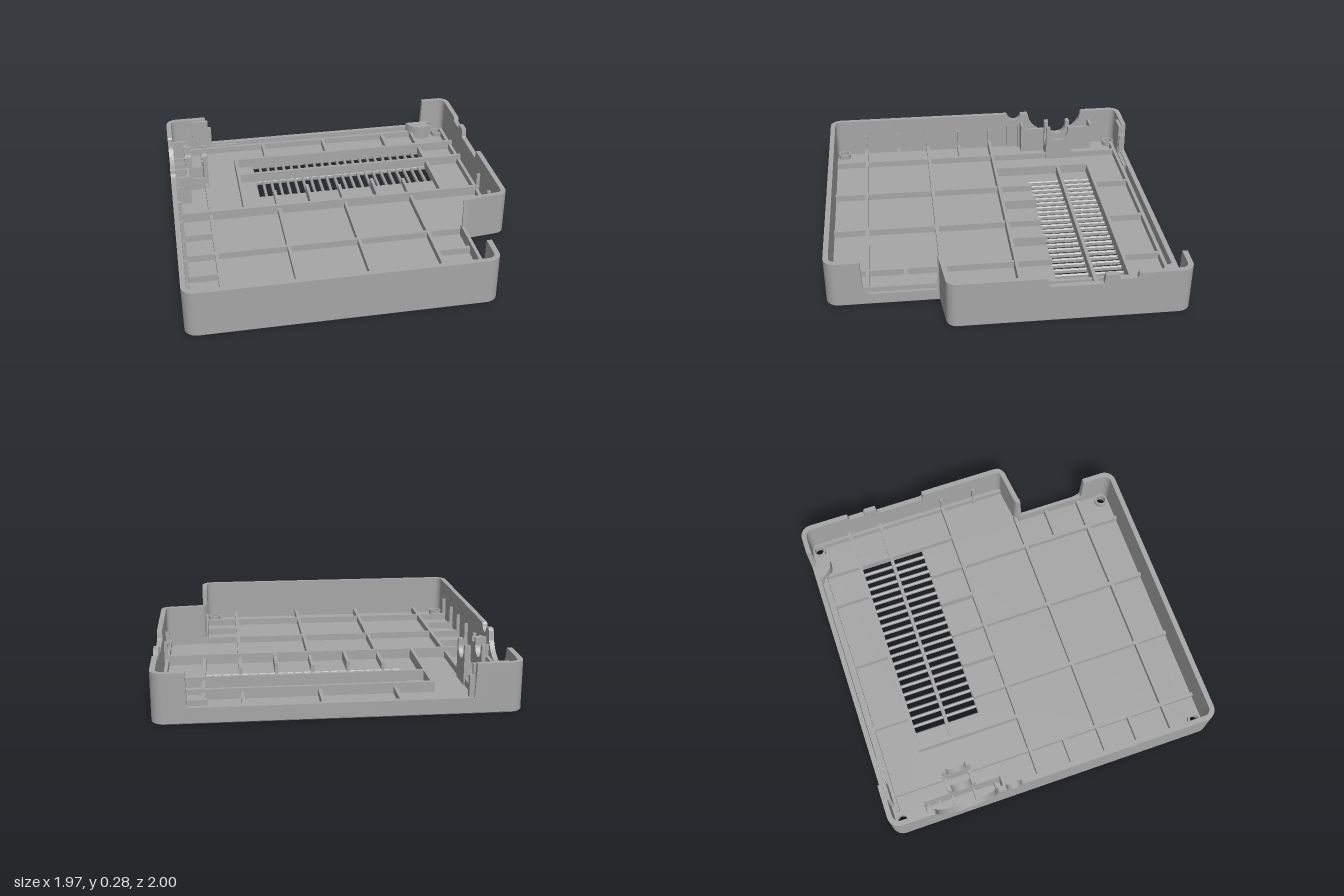
import * as THREE from 'three';
import { toCreasedNormals } from 'three/addons/utils/BufferGeometryUtils.js';

const H = 0.28, FLOOR = 0.03, WALL = 0.03;

// Plan shapes are drawn in (x, -z) and extruded upwards.
const up = (geo, y = 0) => geo.rotateX(-Math.PI / 2).translate(0, y, 0);

// Polygon with rounded corners; each corner is [x, y, r].
function roundedShape(corners) {
  const s = new THREE.Shape();
  const n = corners.length;
  const P = corners.map(c => new THREE.Vector2(c[0], c[1]));
  for (let i = 0; i < n; i++) {
    const p = P[i], r = corners[i][2];
    const a = P[(i + n - 1) % n].clone().sub(p).normalize();
    const b = P[(i + 1) % n].clone().sub(p).normalize();
    const at = (d, k) => p.clone().addScaledVector(d, k);
    const s0 = at(a, r), c0 = at(a, r * 0.45), c1 = at(b, r * 0.45), s1 = at(b, r);
    if (i === 0) s.moveTo(s0.x, s0.y); else s.lineTo(s0.x, s0.y);
    s.bezierCurveTo(c0.x, c0.y, c1.x, c1.y, s1.x, s1.y);
  }
  s.closePath();
  return s;
}

const outline = () => roundedShape([
  [-0.987, -1, 0.07], [0.735, -1, 0.07], [0.735, -0.37, 0.004],
  [0.987, -0.342, 0.05], [0.987, 1, 0.07], [-0.987, 1, 0.07],
]);

// Height of the wall's top edge at a point of the outline.
function rimHeight(x, z) {
  const arc = (mid, r, depth) => {
    const t = (z - mid) / r;
    return Math.abs(t) < 1 ? H - depth * Math.sqrt(1 - t * t) : H;
  };
  if (z < -0.95 && x > -0.72 && x < 0.8) return 0.09;
  if (x < -0.95) return Math.min(arc(-0.545, 0.185, 0.16), arc(-0.26, 0.045, 0.045));
  if (x > 0.95) {
    if (z > -0.505 && z < -0.2) {
      const d = Math.min(z + 0.505, -0.2 - z, 0.02) / 0.02;
      return 0.245 - 0.02 * Math.sqrt(1 - (1 - d) ** 2);
    }
    if (z > -0.69 && z < -0.58) return 0.25;
  } else if (x > 0.72 && z > 0.375 && z < 0.8) {
    const t = Math.max(0, (z - 0.735) / 0.065);
    return 0.135 - 0.065 * Math.sqrt(1 - t * t);
  }
  return H;
}

// Wall swept round the outline, following the rim height.
function wallGeometry() {
  const raw = outline().getPoints(8).filter((p, i, l) => i === 0 || p.distanceTo(l[i - 1]) > 1e-5);
  if (raw[0].distanceTo(raw[raw.length - 1]) < 1e-5) raw.pop();
  const pts = [];
  raw.forEach((p, i) => {
    const q = raw[(i + 1) % raw.length];
    const k = Math.max(1, Math.round(p.distanceTo(q) / 0.008));
    for (let j = 0; j < k; j++) pts.push(p.clone().lerp(q, j / k));
  });
  const n = pts.length;
  const normal = i => {
    const d = pts[(i + 1) % n].clone().sub(pts[i]).normalize();
    return new THREE.Vector2(-d.y, d.x);
  };
  const inner = pts.map((p, i) => {
    const a = normal((i + n - 1) % n), b = normal(i);
    const m = a.clone().add(b).normalize();
    return p.clone().addScaledVector(m, WALL / m.dot(b));
  });
  const heights = pts.map((p, i) => {
    const q = pts[(i + 1) % n];
    return [0.01, 0.99].map(t => {
      const m = p.clone().lerp(q, t);
      return rimHeight(m.x, -m.y);
    });
  });
  const pos = [];
  const v = (p, y) => [p.x, y, -p.y];
  const quad = (a, b, c, d) => pos.push(...a, ...b, ...c, ...a, ...c, ...d);
  for (let i = 0; i < n; i++) {
    const j = (i + 1) % n;
    const a = pts[i], b = pts[j], c = inner[i], d = inner[j];
    const [h0, h1] = heights[i];
    const hp = heights[(i + n - 1) % n][1];
    const y0 = 0.008;
    quad(v(a, y0), v(b, y0), v(b, h1), v(a, h0));
    quad(v(d, y0), v(c, y0), v(c, h0), v(d, h1));
    quad(v(a, h0), v(b, h1), v(d, h1), v(c, h0));
    if (Math.abs(h0 - hp) > 1e-4) quad(v(c, hp), v(a, hp), v(a, h0), v(c, h0));
  }
  const g = new THREE.BufferGeometry();
  g.setAttribute('position', new THREE.Float32BufferAttribute(pos, 3));
  return toCreasedNormals(g, 0.5);
}

export function createModel() {
  const model = new THREE.Group();
  model.name = 'enclosureBase';
  const plastic = new THREE.MeshStandardMaterial({ color: 0xa6a6a6 });
  plastic.name = 'grey plastic';

  const add = (name, geo) => {
    const m = new THREE.Mesh(geo, plastic);
    m.name = name;
    model.add(m);
    return m;
  };
  const box = (name, x0, x1, y0, y1, z0, z1) => add(name,
    new THREE.BoxGeometry(x1 - x0, y1 - y0, z1 - z0)
      .translate((x0 + x1) / 2, (y0 + y1) / 2, (z0 + z1) / 2));

  // Floor with screw holes and two rows of vent slots
  const screws = [[-0.917, -0.928], [0.91, -0.928], [-0.917, 0.922], [0.66, 0.922]];
  const floor = outline();
  for (const [x, z] of screws) {
    floor.holes.push(new THREE.Path().absarc(x, -z, 0.028, 0, Math.PI * 2, true));
  }
  for (let i = 0; i < 22; i++) {
    const x = -0.418 + i * 0.0529, w = 0.018;
    for (const [z0, z1] of [[-0.705, -0.515], [-0.492, -0.303]]) {
      floor.holes.push(new THREE.Path([
        new THREE.Vector2(x - w, -z0), new THREE.Vector2(x + w, -z0),
        new THREE.Vector2(x + w, -z1), new THREE.Vector2(x - w, -z1),
      ]));
    }
  }
  const b = 0.006;
  add('floor', up(new THREE.ExtrudeGeometry(floor, {
    depth: FLOOR - 2 * b, bevelEnabled: true, bevelSize: b, bevelThickness: b,
    bevelOffset: -b, bevelSegments: 1, curveSegments: 10,
  }), b));

  add('outerWall', wallGeometry());

  // Screw bosses
  for (const [x, z] of screws) {
    const ring = [[0.028, 0.01], [0.04, 0.01], [0.04, 0.06], [0.028, 0.06], [0.028, 0.01]]
      .map(p => new THREE.Vector2(...p));
    add('screwBoss', toCreasedNormals(new THREE.LatheGeometry(ring, 24), 0.6).translate(x, 0, z));
  }

  // Floor ribs: [position, start, end, height]
  const t = 0.01, low = 0.07, tall = 0.09;
  const ribsAlongZ = [
    [-0.765, -0.95, 0.98, low], [-0.55, -0.72, -0.085, tall],
    [-0.13, -0.3, -0.085, tall], [0.295, -0.3, -0.085, tall],
    [0.718, -0.95, -0.085, low], [0.94, -0.95, 0.33, low],
  ];
  for (const x of [-0.34, 0.08, 0.505]) {
    ribsAlongZ.push([x, -0.95, -0.71, low], [x, -0.3, 0.98, low]);
  }
  for (const [x, a, c, h] of ribsAlongZ) box('floorRib', x - t, x + t, 0.02, h, a, c);
  const ribsAlongX = [
    [-0.94, -0.86, 0.86, low], [-0.71, -0.55, 0.965, tall], [-0.505, -0.55, 0.965, tall],
    [-0.085, -0.965, 0.965, tall], [0.345, -0.965, 0.73, low], [0.77, -0.965, 0.715, low],
    [0.13, -0.965, -0.765, low], [0.55, -0.965, -0.765, low], [0.55, 0.505, 0.715, low],
    [0.13, 0.92, 0.965, low],
  ];
  for (const [z, a, c, h] of ribsAlongX) box('floorRib', a, c, 0.02, h, z - t, z + t);

  // Upright stiffeners on the side and front walls
  for (const z of [-0.085, 0.13, 0.345, 0.55, 0.77]) {
    box('wallStiffener', -0.965, -0.935, 0.02, 0.175, z - 0.008, z + 0.008);
  }
  for (const z of [-0.085, 0.13]) box('wallStiffener', 0.935, 0.965, 0.02, 0.175, z - 0.008, z + 0.008);

  // Raised inner lip of the side opening
  box('openingLip', 0.7, 0.716, 0.02, 0.1, 0.36, 0.8);

  // Socket housing by the left wall
  for (const z of [-0.785, -0.31]) box('housingSide', -0.965, -0.87, 0.02, 0.22, z - 0.008, z + 0.008);
  box('housingFrontPanel', -0.888, -0.87, 0.02, 0.2, -0.79, -0.62);
  box('housingFrontPanel', -0.888, -0.87, 0.02, 0.2, -0.47, -0.305);
  for (const z of [-0.755, -0.69, -0.61, -0.48, -0.35]) {
    box('housingRib', -0.965, -0.88, 0.02, 0.11, z - 0.006, z + 0.006);
  }
  box('slotBacking', -0.965, -0.935, 0.02, 0.2, -0.3, -0.285);
  box('slotBacking', -0.965, -0.935, 0.02, 0.2, -0.225, -0.21);

  // Cradles with a half-round seat
  const cradle = new THREE.Shape();
  cradle.moveTo(-0.085, 0.02).lineTo(0.085, 0.02).lineTo(0.085, 0.265).lineTo(0.06, 0.265)
    .absarc(0, 0.23, 0.06, 0, Math.PI, true).lineTo(-0.06, 0.265).lineTo(-0.085, 0.265);
  for (const [x, d] of [[-0.885, 0.04], [-0.775, 0.028]]) {
    add('cradle', new THREE.ExtrudeGeometry(cradle, { depth: d, bevelEnabled: false, curveSegments: 16 })
      .rotateY(Math.PI / 2).translate(x, 0, -0.545));
  }
  for (const z of [-0.62, -0.47]) box('cradleSide', -0.87, -0.765, 0.02, 0.11, z - 0.008, z + 0.008);

  // Edge pieces of the rear opening
  box('rearJamb', -0.82, -0.71, 0.02, 0.27, -0.972, -0.95);
  box('rearJambStep', -0.72, -0.69, 0.02, 0.21, -0.985, -0.955);
  box('rearLedge', -0.71, -0.52, 0.02, 0.08, -0.972, -0.95);
  const guide = new THREE.Shape();
  guide.moveTo(0.69, 0.97).quadraticCurveTo(0.71, 0.885, 0.8, 0.88).lineTo(0.85, 0.9)
    .lineTo(0.83, 0.935).lineTo(0.87, 0.972);
  add('rearGuide', up(new THREE.ExtrudeGeometry(guide, { depth: 0.1, bevelEnabled: false, curveSegments: 8 }), 0.02));

  return model;
}
